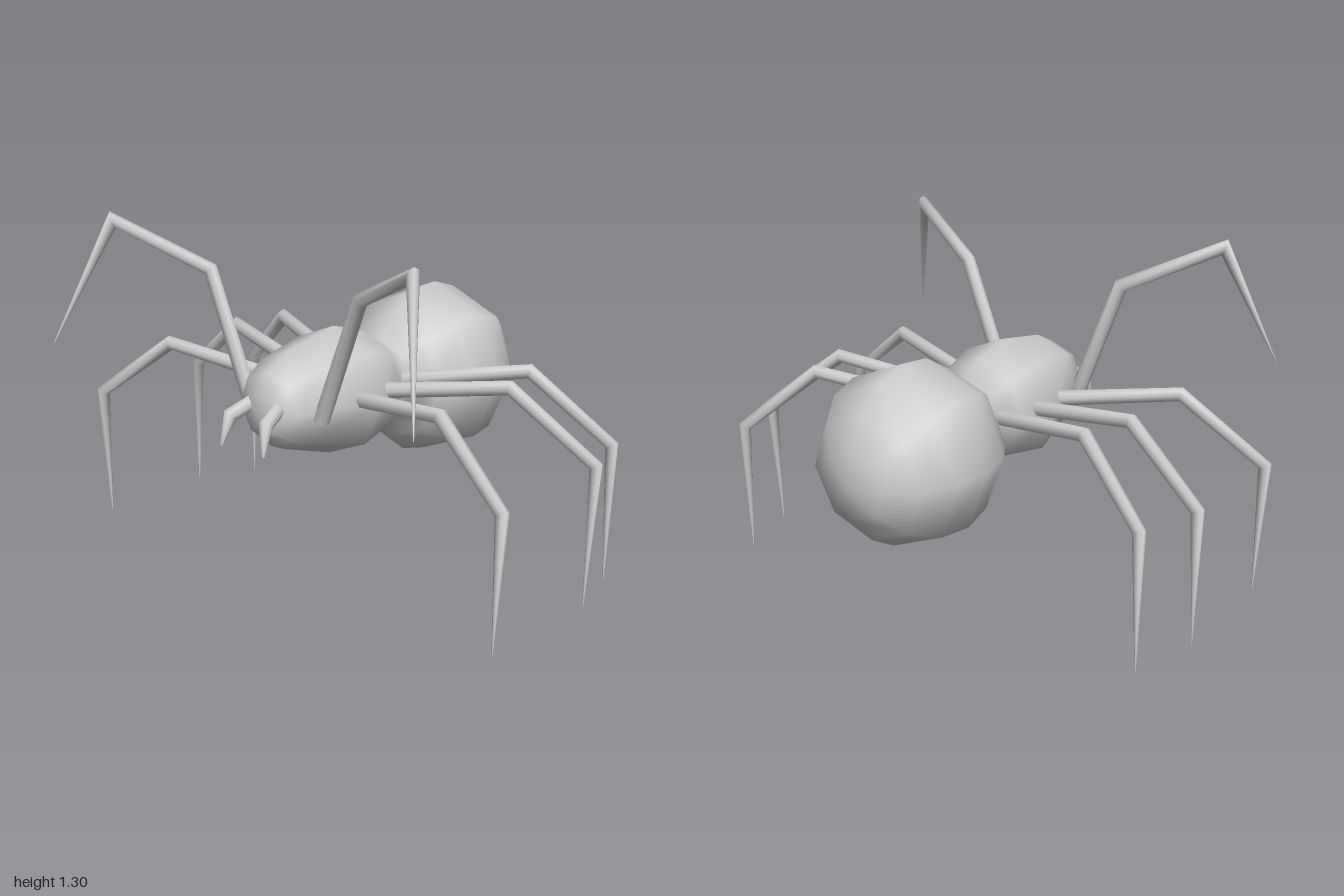
import * as THREE from 'three';

const SIDES = 8;
const V = (x, y, z) => new THREE.Vector3(x, y, z);
const material = new THREE.MeshStandardMaterial({ color: 0xcccccc });

// Skin a series of rings { c, u, v } (u x v points forward), closed by a point at each end
function loft(rings, start, end) {
  const pos = [], index = [];
  for (const { c, u, v } of rings) {
    for (let j = 0; j < SIDES; j++) {
      const a = (j / SIDES) * Math.PI * 2;
      const p = c.clone().addScaledVector(u, Math.cos(a)).addScaledVector(v, Math.sin(a));
      pos.push(p.x, p.y, p.z);
    }
  }
  const s = rings.length * SIDES, last = s - SIDES;
  pos.push(...start.toArray(), ...end.toArray());
  for (let j = 0; j < SIDES; j++) {
    const k = (j + 1) % SIDES;
    for (let i = 0; i < last; i += SIDES) {
      index.push(i + j, i + k, i + SIDES + j, i + k, i + SIDES + k, i + SIDES + j);
    }
    index.push(s, k, j, s + 1, last + j, last + k);
  }
  const geometry = new THREE.BufferGeometry();
  geometry.setAttribute('position', new THREE.Float32BufferAttribute(pos, 3));
  geometry.setIndex(index);
  geometry.computeVertexNormals();
  return geometry;
}

// Jointed, tapering limb with mitred bends
function limb(name, points, radii) {
  const p = points.map(a => V(...a));
  const n = p.length;
  const out = p[n - 1].clone().sub(p[0]).setY(0).normalize();
  const side = V(-out.z, 0, out.x);
  const dir = i => p[i + 1].clone().sub(p[i]).normalize();
  const rings = p.map((c, i) => {
    const before = dir(Math.max(i - 1, 0)), after = dir(Math.min(i, n - 2));
    const t = before.clone().add(after).normalize();
    const u = side.clone().addScaledVector(t, -side.dot(t)).normalize();
    const v = t.clone().cross(u);
    const mitre = 1 / Math.max(0.6, t.dot(after));
    return { c, u: u.multiplyScalar(radii[i]), v: v.multiplyScalar(radii[i] * mitre) };
  });
  const mesh = new THREE.Mesh(loft(rings, p[0], p[n - 1]), material);
  mesh.name = name;
  return mesh;
}

// Body rings front to back: z, y of the top point, then z, y of the bottom point
const BODY = [
  [0.535, 0.735, 0.53, 0.585],
  [0.50, 0.815, 0.485, 0.54],
  [0.39, 0.867, 0.42, 0.51],
  [0.15, 0.908, 0.18, 0.43],
  [0.00, 0.865, 0.00, 0.465],
  [-0.11, 0.80, -0.10, 0.495],
  [-0.20, 0.885, -0.16, 0.40],
  [-0.32, 0.95, -0.26, 0.325],
  [-0.45, 0.963, -0.39, 0.293],
  [-0.57, 0.925, -0.52, 0.305],
  [-0.68, 0.835, -0.64, 0.37],
  [-0.74, 0.73, -0.73, 0.475],
];

// Joints of the legs on the left side: base, knee, ankle, tip
const LEGS = {
  raisedFrontLeg: [[0.17, 0.65, 0.41], [0.35, 1.11, 0.415], [0.69, 1.272, 0.57], [0.84, 0.82, 0.75]],
  frontLeg: [[0.17, 0.685, 0.225], [0.66, 0.765, 0.38], [0.97, 0.53, 0.462], [0.95, 0.03, 0.465]],
  middleLeg: [[0.17, 0.685, 0.095], [0.66, 0.765, -0.02], [0.97, 0.53, -0.095], [0.96, 0.015, -0.07]],
  rearLeg: [[0.12, 0.68, -0.055], [0.60, 0.765, -0.23], [0.885, 0.52, -0.34], [0.885, 0.002, -0.33]],
};

export function createModel() {
  const model = new THREE.Group();
  model.name = 'spider';

  // Head, waist and abdomen as one smooth skin
  const rings = BODY.map(([zt, yt, zb, yb]) => {
    const v = V(0, (yb - yt) / 2, (zb - zt) / 2);
    return { c: V(0, (yt + yb) / 2, (zt + zb) / 2), u: V(v.length(), 0, 0), v };
  });
  const body = new THREE.Mesh(loft(rings, V(0, 0.66, 0.542), V(0, 0.60, -0.757)), material);
  body.name = 'body';
  model.add(body);

  for (const [s, label] of [[1, 'left'], [-1, 'right']]) {
    for (const [name, joints] of Object.entries(LEGS)) {
      // The right front leg reaches a little less far forward
      const swing = s < 0 && name === 'frontLeg' ? 0.04 : 0;
      const points = joints.map(([x, y, z], i) => [s * x, y, z - (i > 0 ? swing : 0)]);
      model.add(limb(`${label} ${name}`, points, [0.03, 0.026, 0.023, 0.002]));
    }
    // Short bent fang at the mouth
    const fang = [[0.06, 0.70, 0.50], [0.085, 0.665, 0.60], [0.10, 0.56, 0.632]];
    model.add(limb(`${label} fang`, fang.map(([x, y, z]) => [s * x, y, z]), [0.028, 0.026, 0.006]));
  }
  return model;
}
